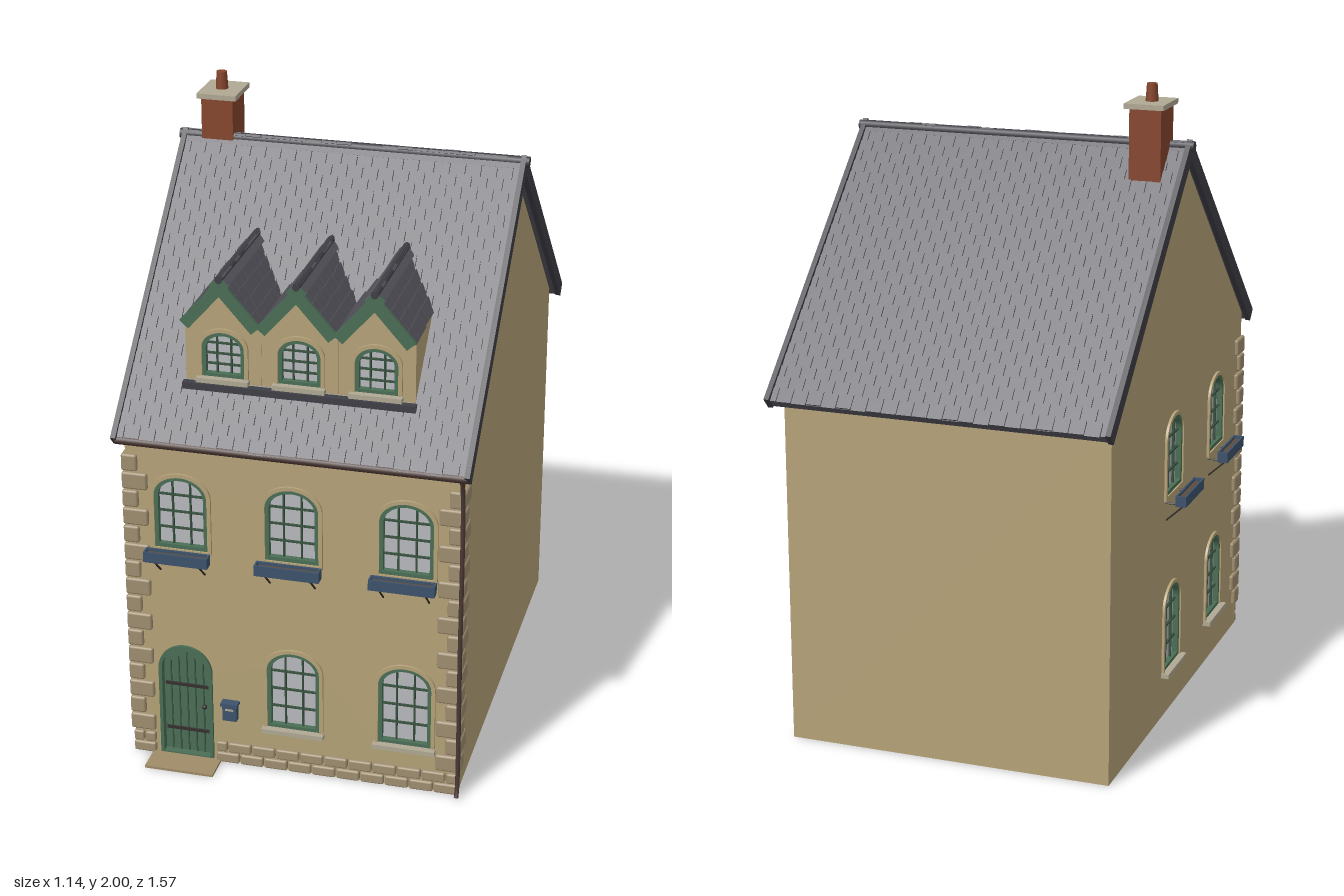
import * as THREE from 'three';
import { mergeGeometries } from 'three/addons/utils/BufferGeometryUtils.js';
import { RoundedBoxGeometry } from 'three/addons/geometries/RoundedBoxGeometry.js';

const mat = (color) => new THREE.MeshStandardMaterial({ color });
const M = {
  wall: mat(0xb5a278), roof: mat(0x55545c), trim: mat(0x3f3f46), green: mat(0x4a6e55), darkGreen: mat(0x38513f),
  glass: mat(0xb8b9be), stone: mat(0x9f8e70), blue: mat(0x3d526c), brick: mat(0x85452d), cap: mat(0xb0a893),
  iron: mat(0x35302e), pipe: mat(0x4a3833), floor: mat(0x5c4b3e), step: mat(0xa08b68),
};
const CX = 0.015, SLOPE = Math.atan(0.93), RAKE = 0.76 / Math.cos(SLOPE);

let seed = 7;
const rand = () => (seed = (seed * 16807) % 2147483647) / 2147483647;

function add(parent, name, geo, material, x = 0, y = 0, z = 0) {
  const m = new THREE.Mesh(geo, material);
  m.name = name;
  m.position.set(x, y, z);
  parent.add(m);
  return m;
}
const box = (parent, name, material, w, h, d, x, y, z) =>
  add(parent, name, new THREE.BoxGeometry(w, h, d), material, x, y, z);

function group(parent, name, x = 0, y = 0, z = 0, ry = 0) {
  const g = new THREE.Group();
  g.name = name;
  g.position.set(x, y, z);
  g.rotation.y = ry;
  parent.add(g);
  return g;
}

// Outline of an arched opening, base at y
function arch(x, y, w, h, rise = 0.8, Type = THREE.Shape) {
  const s = new Type(), r = (w / 2) * rise;
  s.moveTo(x - w / 2, y);
  s.lineTo(x + w / 2, y);
  s.lineTo(x + w / 2, y + h - r);
  s.absellipse(x, y + h - r, w / 2, r, 0, Math.PI, false);
  s.closePath();
  return s;
}
const extrude = (shape, depth) =>
  new THREE.ExtrudeGeometry(shape, { depth, bevelEnabled: false, curveSegments: 14 });

function archRing(parent, name, material, x, y, w, h, t, z, depth, rise) {
  const s = arch(x, y - t, w + 2 * t, h + 2 * t, rise);
  s.holes.push(arch(x, y, w, h, rise, THREE.Path));
  add(parent, name, extrude(s, depth), material, 0, 0, z);
}

function bar(parent, name, material, a, b, r) {
  const p = new THREE.LineCurve3(new THREE.Vector3(...a), new THREE.Vector3(...b));
  add(parent, name, new THREE.TubeGeometry(p, 1, r, 6), material);
}

// Window on a wall whose outer face is local z = 0
function windowUnit(wall, { x, y, w, h, kind }) {
  const g = group(wall, kind + 'Window', x, y, 0);
  add(g, 'glass', new THREE.ShapeGeometry(arch(0, 0, w, h), 14), M.glass, 0, 0, -0.016);
  archRing(g, 'frame', M.green, 0, 0.012, w - 0.024, h - 0.024, 0.012, -0.015, 0.018);
  archRing(g, 'surround', M.wall, 0, 0, w, h, 0.012, -0.002, 0.01);
  for (const k of [-1, 1]) box(g, 'glazingBar', M.darkGreen, 0.005, h * 0.93, 0.008, k * w / 6, h * 0.48, -0.01);
  for (const k of [0.27, 0.5, 0.73]) box(g, 'glazingBar', M.darkGreen, w * 0.95, 0.005, 0.008, 0, h * k, -0.01);
  if (kind !== 'upper') box(g, 'sill', M.cap, w + 0.03, 0.015, 0.03, 0, -0.006, 0.01);
  if (kind === 'upper') {
    box(g, 'planterFloor', M.floor, 0.18, 0.02, 0.022, 0, -0.007, 0.055);
    for (const z of [0.041, 0.069]) box(g, 'planterSide', M.blue, 0.2, 0.034, 0.006, 0, -0.005, z);
    for (const k of [-1, 1]) {
      box(g, 'planterEnd', M.blue, 0.006, 0.034, 0.03, k * 0.097, -0.005, 0.055);
      bar(g, 'bracketArm', M.iron, [k * 0.07, -0.024, 0], [k * 0.07, -0.024, 0.068], 0.003);
      bar(g, 'bracketStay', M.iron, [k * 0.07, -0.08, 0], [k * 0.07, -0.024, 0.06], 0.003);
    }
  }
}

function wallPanel(house, name, points, openings, x, z, ry) {
  const g = group(house, name, x, 0, z, ry);
  const s = new THREE.Shape(points.map((p) => new THREE.Vector2(...p)));
  for (const o of openings) s.holes.push(arch(o.x, o.y, o.w, o.h, o.rise, THREE.Path));
  add(g, 'wall', extrude(s, 0.03), M.wall, 0, 0, -0.03);
  for (const o of openings) if (o.kind !== 'door') windowUnit(g, o);
  return g;
}

// Tiled slope: ridge at local z = 0, running down along +z before tilting
function tiledSlope(parent, name, width, length, rows, cols, angle) {
  const g = group(parent, name);
  g.rotation.x = angle;
  box(g, 'deck', M.roof, width, 0.025, length, 0, -0.026, length / 2);
  const tiles = [], d = length / rows, w = width / cols;
  for (let r = 0; r < rows; r++) {
    const shift = r % 2 ? w / 2 : 0;
    for (let c = 0; c < cols + (r % 2); c++) {
      const x0 = Math.max(0, c * w - shift), x1 = Math.min(width, (c + 1) * w - shift);
      const t = new THREE.BoxGeometry(x1 - x0 - 0.002, 0.008, d * 1.15);
      t.rotateX(0.1);
      t.translate((x0 + x1 - width) / 2, -0.009, (r + 0.45) * d + (rand() - 0.5) * 0.006);
      tiles.push(t);
    }
  }
  add(g, 'tiles', mergeGeometries(tiles), M.roof);
  return g;
}

export function createModel() {
  const house = new THREE.Group();
  house.name = 'townHouse';

  // Walls with arched openings
  const upper = (x) => ({ x, y: 0.735, w: 0.165, h: 0.24, kind: 'upper' });
  const lower = (x) => ({ x, y: 0.15, w: 0.165, h: 0.27, kind: 'lower' });
  const door = { x: -0.33, y: 0.002, w: 0.17, h: 0.39, rise: 1, kind: 'door' };
  const rect = [[-0.5, 0], [0.53, 0], [0.53, 1.12], [-0.5, 1.12]];
  const front = wallPanel(house, 'frontWall', rect,
    [upper(-0.33), upper(CX), upper(0.365), lower(CX), lower(0.365), door], 0, 0.68, 0);
  wallPanel(house, 'backWall', rect.map(([x, y]) => [x - 2 * CX, y]), [], 0, -0.71, Math.PI);
  const gable = [[-0.71, 0], [0.68, 0], [0.68, 1.12], [-0.02, 1.775], [-0.71, 1.12]];
  wallPanel(house, 'rightWall', gable, [upper(-0.09), upper(0.38), lower(-0.09), lower(0.38)], -0.5, 0, -Math.PI / 2);
  wallPanel(house, 'leftWall', gable.map(([z, y]) => [-z, y]).reverse(), [], 0.53, 0, Math.PI / 2);

  // Door
  const d = group(front, 'door', door.x, 0, 0);
  add(d, 'doorLeaf', extrude(arch(0, 0.002, 0.17, 0.39, 1), 0.01), M.green, 0, 0, -0.025);
  archRing(d, 'doorFrame', M.green, 0, 0.012, 0.15, 0.375, 0.011, -0.015, 0.024, 1);
  for (let i = -2; i <= 2; i++)
    box(d, 'plankGroove', M.darkGreen, 0.004, 0.36 - Math.abs(i) * 0.018, 0.004, i * 0.026, 0.185 - Math.abs(i) * 0.009, -0.014);
  for (const y of [0.09, 0.25]) box(d, 'strapHinge', M.iron, 0.14, 0.009, 0.006, 0, y, -0.012);
  add(d, 'doorKnob', new THREE.SphereGeometry(0.008, 10, 8), M.iron, 0.055, 0.18, -0.008);
  box(house, 'doorstep', M.step, 0.22, 0.008, 0.1, -0.33, 0.004, 0.73);

  // Letter box
  const lb = group(front, 'letterBox', -0.185, 0.19, 0.012);
  box(lb, 'letterBoxBody', M.blue, 0.045, 0.055, 0.024, 0, 0, 0);
  box(lb, 'letterBoxLid', M.blue, 0.054, 0.01, 0.032, 0, 0.03, 0.002);
  box(lb, 'letterBoxSlot', M.cap, 0.026, 0.006, 0.004, 0, 0.012, 0.012);

  // Corner stones, alternating long and short
  for (const [x, s] of [[-0.5, -1], [0.53, 1]])
    for (let i = 0; i < 16; i++) {
      const w = i % 2 ? 0.05 : 0.08, z = i % 2 ? 0.085 : 0.055;
      add(house, 'cornerStone', new RoundedBoxGeometry(w, 0.055, z, 1, 0.007), M.stone,
        x + s * (0.012 - w / 2), 0.108 + i * 0.06, 0.692 - z / 2);
    }

  // Brick plinth either side of the door
  for (const [a, b, n] of [[-0.505, -0.43, 1], [-0.235, 0.535, 10]])
    for (let r = 0; r < 2; r++) {
      const w = (b - a) / n;
      for (let i = 0; i < n + r; i++) {
        const x0 = Math.max(a, a + (i - r / 2) * w), x1 = Math.min(b, a + (i + 1 - r / 2) * w);
        add(house, 'plinthStone', new RoundedBoxGeometry(x1 - x0 - 0.004, 0.034, 0.024, 1, 0.006), M.stone,
          (x0 + x1) / 2, 0.019 + r * 0.038, 0.682);
      }
    }

  // Main roof
  for (const [name, ry] of [['frontRoof', 0], ['backRoof', Math.PI]]) {
    const side = group(house, name, 0.02, 1.82, -0.02, ry);
    const s = tiledSlope(side, 'roofSlope', 1.06, RAKE, 26, 22, SLOPE);
    for (const k of [-1, 1]) box(s, 'vergeBoard', M.trim, 0.016, 0.045, RAKE + 0.01, k * 0.533, -0.018, RAKE / 2);
  }
  const ridge = add(house, 'ridgeCap', new THREE.CylinderGeometry(0.016, 0.016, 1.1, 10), M.trim, 0.02, 1.806, -0.022);
  ridge.rotation.z = Math.PI / 2;

  // Dormers
  for (const x of [-0.2175, CX, 0.2475]) {
    const g = group(house, 'dormer', x, 0, 0.58);
    const s = new THREE.Shape([[-0.116, 1.2], [0.116, 1.2], [0.116, 1.445], [0, 1.57], [-0.116, 1.445]]
      .map((p) => new THREE.Vector2(...p)));
    s.holes.push(arch(0, 1.27, 0.13, 0.145, 0.8, THREE.Path));
    add(g, 'dormerWalls', extrude(s, 0.36), M.wall, 0, 0, -0.36);
    windowUnit(g, { x: 0, y: 1.27, w: 0.13, h: 0.145, kind: 'dormer' });
    for (const k of [-1, 1]) {
      const side = group(g, 'dormerRoof', 0, 1.6, -0.175, k * Math.PI / 2);
      const t = tiledSlope(side, 'dormerSlope', 0.4, 0.19, 5, 9, 0.85);
      box(t, 'bargeBoard', M.green, 0.012, 0.036, 0.19, -k * 0.203, -0.022, 0.095);
    }
    const cap = add(g, 'dormerRidge', new THREE.CylinderGeometry(0.012, 0.012, 0.42, 8), M.trim, 0, 1.592, -0.175);
    cap.rotation.x = Math.PI / 2;
  }
  box(house, 'dormerFlashing', M.trim, 0.71, 0.025, 0.03, CX, 1.24, 0.59);

  // Chimney
  box(house, 'chimneyStack', M.brick, 0.1, 0.27, 0.125, -0.405, 1.8, -0.065);
  box(house, 'chimneyCap', M.cap, 0.125, 0.016, 0.15, -0.405, 1.938, -0.07);
  add(house, 'chimneyPot', new THREE.CylinderGeometry(0.016, 0.02, 0.06, 14), M.brick, -0.408, 1.97, -0.07);

  // Gutter and downpipe
  const gutter = add(house, 'gutter', new THREE.CylinderGeometry(0.014, 0.014, 1.06, 10), M.pipe, 0.02, 1.1, 0.725);
  gutter.rotation.z = Math.PI / 2;
  const path = new THREE.CatmullRomCurve3([[0.535, 1.1, 0.728], [0.535, 1.07, 0.715], [0.535, 1.0, 0.7],
    [0.535, 0.5, 0.7], [0.535, 0.03, 0.7], [0.535, 0.006, 0.712]].map((p) => new THREE.Vector3(...p)));
  add(house, 'downpipe', new THREE.TubeGeometry(path, 40, 0.007, 8), M.pipe);

  // Interior seen through the open underside
  box(house, 'groundFloor', M.floor, 0.99, 0.012, 0.5, CX, 0.008, 0.4);
  box(house, 'partition', M.wall, 0.97, 1.05, 0.025, CX, 0.53, 0.15);
  box(house, 'upperFloor', M.floor, 0.97, 0.02, 1.33, CX, 1.06, -0.015);
  box(house, 'innerRoom', M.wall, 0.3, 0.95, 0.3, -0.22, 0.575, -0.02);
  box(house, 'innerRoomFloor', M.floor, 0.29, 0.01, 0.29, -0.22, 0.097, -0.02);
  return house;
}
